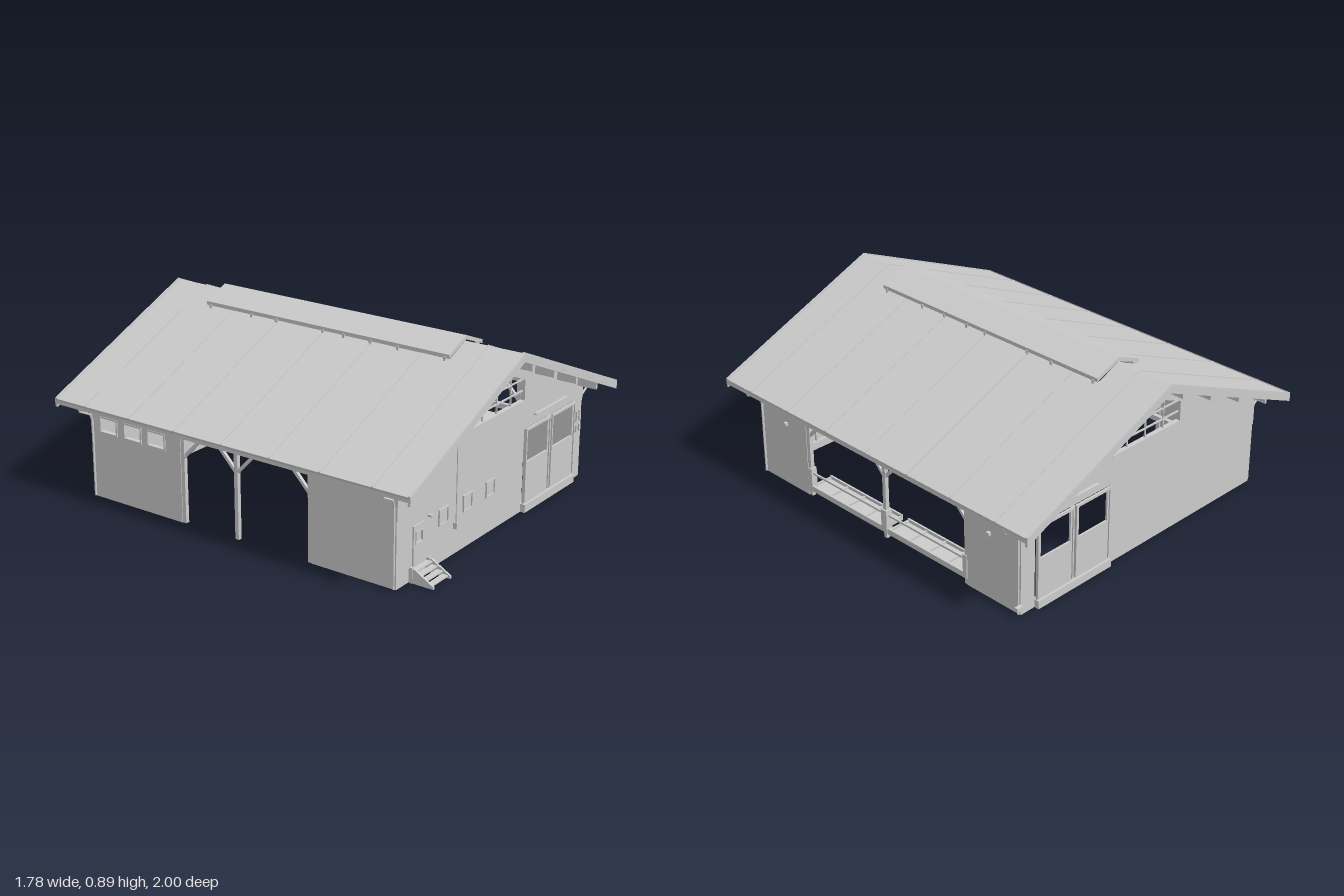
import * as THREE from 'three';

const mat = new THREE.MeshStandardMaterial({ color: 0xcccccc, flatShading: true, side: THREE.DoubleSide });
const SLOPE = 0.424;
const roofY = x => 0.865 - SLOPE * Math.abs(x);

export function createModel() {
  const root = new THREE.Group();
  root.name = 'barn';

  const add = (name, geo) => {
    const m = new THREE.Mesh(geo, mat);
    m.name = name;
    root.add(m);
    return m;
  };
  // box given by its min and max on each axis
  const box = (name, x0, x1, y0, y1, z0, z1) => {
    const m = add(name, new THREE.BoxGeometry(x1 - x0, y1 - y0, z1 - z0));
    m.position.set((x0 + x1) / 2, (y0 + y1) / 2, (z0 + z1) / 2);
    return m;
  };
  const toPath = (pts, C = THREE.Path) => new C(pts.map(p => new THREE.Vector2(p[0], p[1])));
  const rect = (a, b, c, d) => [[a, c], [b, c], [b, d], [a, d]];
  // outline in x,y pushed from z0 to z1
  const slab = (name, pts, z0, z1, holes = []) => {
    const s = toPath(pts, THREE.Shape);
    holes.forEach(h => s.holes.push(toPath(h)));
    const g = new THREE.ExtrudeGeometry(s, { depth: z1 - z0, bevelEnabled: false });
    g.translate(0, 0, z0);
    return add(name, g);
  };
  // outline in z,y pushed from x0 to x1
  const sideSlab = (name, pts, x0, x1, holes = []) => {
    const m = slab(name, pts.map(p => [-p[0], p[1]]), x0, x1, holes.map(h => h.map(p => [-p[0], p[1]])));
    m.geometry.rotateY(Math.PI / 2);
    return m;
  };
  // square beam between two points
  const beam = (name, a, b, t) => {
    const A = new THREE.Vector3(...a), B = new THREE.Vector3(...b);
    const m = add(name, new THREE.BoxGeometry(t, t, A.distanceTo(B)));
    m.position.copy(A).add(B).multiplyScalar(0.5);
    m.lookAt(B);
    return m;
  };
  const pipe = (name, pts, r) => add(name, new THREE.TubeGeometry(
    new THREE.CatmullRomCurve3(pts.map(p => new THREE.Vector3(...p)), false, 'catmullrom', 0.2), 14, r, 6));
  // strip following the roof slope, between two x values
  const slopeStrip = (name, xa, xb, top, bottom, z0, z1) => slab(name, [
    [xa, roofY(xa) + bottom], [xb, roofY(xb) + bottom], [xb, roofY(xb) + top], [xa, roofY(xa) + top]], z0, z1);

  // gable walls, with window, sliding doors and cladding
  const gableWindow = [[-0.23, 0.55], [0.23, 0.55], [0.23, 0.66], [0, 0.757], [-0.23, 0.66]];
  for (const s of [1, -1]) {
    const at = (name, x0, x1, y0, y1, a, b) =>
      box(name, x0, x1, y0, y1, Math.min(s * a, s * b), Math.max(s * a, s * b));
    const put = (name, pts, a, b, holes) => slab(name, pts, Math.min(s * a, s * b), Math.max(s * a, s * b), holes);
    put('gableWall', [[-0.785, 0], [0.235, 0], [0.235, 0.41], [0.7, 0.41], [0.7, 0], [0.785, 0],
      [0.785, roofY(0.785) - 0.025], [0, 0.84], [-0.785, roofY(0.785) - 0.025]], 0.85, 0.865, [gableWindow]);
    put('upperCladding', [[-0.787, 0.315], [0.235, 0.315], [0.235, 0.415], [0.787, 0.415],
      [0.787, roofY(0.787) - 0.025], [0, 0.84], [-0.787, roofY(0.787) - 0.025]], 0.865, 0.871, [gableWindow]);
    // gable window bars and frame
    for (const x of [-0.12, 0, 0.12]) at('windowBar', x - 0.003, x + 0.003, 0.55, 0.755 - 0.42 * Math.abs(x), 0.856, 0.864);
    for (const y of [0.6, 0.655]) at('windowBar', -0.23, 0.23, y - 0.003, y + 0.003, 0.856, 0.864);
    const inner = [[-0.224, 0.556], [0.224, 0.556], [0.224, 0.656], [0, 0.75], [-0.224, 0.656]];
    put('gableWindowFrame', gableWindow, 0.85, 0.874, [inner]);
    // sliding doors
    for (const [a, b] of [[0.24, 0.461], [0.475, 0.698]]) {
      put('slidingDoor', rect(a, b, 0.04, 0.41), 0.868, 0.878, [rect(a + 0.018, b - 0.02, 0.245, 0.398)]);
      for (const x of [a, b - 0.008]) at('doorStile', x, x + 0.008, 0.05, 0.41, 0.878, 0.884);
      at('doorHead', a, b, 0.402, 0.414, 0.878, 0.884);
    }
    at('doorPost', 0.461, 0.475, 0.04, 0.41, 0.858, 0.87);
    at('doorSill', 0.235, 0.7, 0, 0.04, 0.85, 0.89);
    at('doorRail', 0.32, 0.615, 0.457, 0.465, 0.871, 0.885);
  }

  // small front windows
  for (const x of [-0.43, -0.235, -0.045]) {
    slab('smallWindowFrame', rect(x - 0.037, x + 0.037, 0.178, 0.256), 0.865, 0.873,
      [rect(x - 0.031, x + 0.031, 0.184, 0.25)]);
    box('smallWindowPane', x - 0.031, x + 0.031, 0.184, 0.25, 0.864, 0.867);
  }
  // front door and steps
  slab('frontDoor', rect(-0.665, -0.582, 0.06, 0.25), 0.865, 0.872, [rect(-0.65, -0.597, 0.165, 0.22)]);
  slab('frontDoorWindowFrame', rect(-0.652, -0.595, 0.163, 0.222), 0.865, 0.876, [rect(-0.647, -0.6, 0.168, 0.217)]);
  box('doorLamp', -0.56, -0.545, 0.26, 0.27, 0.871, 0.89);
  for (const x of [-0.69, -0.558]) {
    sideSlab('stepSide', [[0.865, 0], [0.99, 0], [0.99, 0.012], [0.895, 0.066], [0.865, 0.066]], x, x + 0.01);
    box('stepPost', x - 0.003, x + 0.013, 0, 0.072, 0.872, 0.884);
  }
  for (let i = 0; i < 4; i++) box('stepTread', -0.68, -0.558, 0.008 + i * 0.015, 0.014 + i * 0.015, 0.95 - i * 0.027, 0.98 - i * 0.027);
  // front pipe and small plates
  pipe('frontDownpipe', [[-0.34, 0.695, 0.878], [-0.34, 0.4, 0.878], [-0.34, 0.14, 0.878]], 0.004);
  box('pipeFoot', -0.347, -0.333, 0.125, 0.155, 0.865, 0.885);
  for (const x of [0.728, 0.755]) {
    box('wallPlate', x, x + 0.014, 0.3, 0.35, 0.865, 0.876);
    box('wallPlate', x, x + 0.014, 0.245, 0.28, 0.865, 0.876);
  }
  box('wallTap', 0.785, 0.82, 0.035, 0.055, -0.88, -0.862);

  // long side walls, one with a row of small windows
  const eave = 0.5;
  for (const s of [1, -1])
    sideSlab('rightWall', rect(...[s * 0.54, s * 0.865].sort((a, b) => a - b), 0, eave), 0.77, 0.785);
  sideSlab('leftFrontWall', rect(0.42, 0.865, 0, eave), -0.785, -0.77);
  const sideWindows = [-0.76, -0.61, -0.465];
  sideSlab('leftBackWall', rect(-0.865, -0.32, 0, eave), -0.785, -0.77,
    sideWindows.map(z => rect(z - 0.052, z + 0.052, 0.335, 0.41)));
  for (const z of sideWindows)
    sideSlab('sideWindowFrame', rect(z - 0.056, z + 0.056, 0.331, 0.414), -0.79, -0.767, [rect(z - 0.048, z + 0.048, 0.339, 0.406)]);
  box('wallRail', -0.77, -0.755, 0.285, 0.31, -0.85, -0.32);
  box('rightHeader', 0.76, 0.785, 0.425, eave, -0.54, 0.54);
  box('leftHeader', -0.785, -0.76, 0.425, eave, -0.32, 0.42);
  for (const z of [0.68, -0.68]) box('sideLamp', 0.785, 0.8, 0.325, 0.34, z - 0.009, z + 0.009);

  // posts and angled braces in the open bays
  const bay = (x, posts, lo, hi) => {
    for (const z of posts) {
      box('bayPost', x - 0.01, x + 0.01, 0, 0.43, z - 0.01, z + 0.01);
      for (const d of [-0.105, 0.105])
        if (z + d > lo && z + d < hi) beam('bayBrace', [x, 0.32, z], [x, 0.43, z + d], 0.015);
    }
  };
  bay(0.772, [-0.53, 0, 0.53], -0.54, 0.54);
  bay(-0.772, [-0.31, 0, 0.41], -0.32, 0.42);

  // feed troughs along the open right side
  for (const s of [1, -1]) {
    const z0 = s > 0 ? 0.02 : -0.53, z1 = z0 + 0.51;
    box('troughFloor', 0.66, 0.785, 0.03, 0.042, z0, z1);
    box('troughFront', 0.777, 0.787, 0.03, 0.058, z0, z1);
    box('troughBack', 0.655, 0.665, 0.03, 0.058, z0, z1);
    box('troughRail', 0.77, 0.778, 0.118, 0.128, z0, z1);
    for (let i = 0; i <= 4; i++) box('troughSlat', 0.66, 0.785, 0.042, 0.052, z0 + i * 0.125, z0 + i * 0.125 + 0.01);
    box('troughEnd', 0.755, 0.787, 0.03, 0.15, s * 0.525 - 0.012, s * 0.525 + 0.012);
  }
  box('troughDivider', 0.755, 0.79, 0.035, 0.15, -0.018, 0.018);

  // enclosed front room
  slab('roomWall', rect(-0.77, 0.27, 0, 0.44), 0.42, 0.435, [rect(-0.16, -0.08, 0.09, 0.25)]);
  box('roomSideWall', 0.255, 0.27, 0, 0.44, 0.435, 0.85);
  box('roomCeiling', -0.77, 0.27, 0.43, 0.445, 0.42, 0.85);
  box('roomWindow', 0.01, 0.09, 0.16, 0.24, 0.412, 0.42);
  box('roomCounter', -0.45, 0.2, 0.13, 0.15, 0.74, 0.85);

  // roof: two slopes with an open vent slot along the ridge
  const slot = 0.125, ventZ = 0.69;
  for (const s of [1, -1]) {
    slopeStrip('roofSlope', s * slot, s * 0.885, 0, -0.025, -1, 1);
    for (const [z0, z1] of [[-1, -ventZ], [ventZ, 1]]) slopeStrip('roofRidgeEnd', 0, s * slot, 0, -0.025, z0, z1);
    for (let i = -3; i <= 3; i++)
      slopeStrip('roofSeam', s * (Math.abs(i) < 3 ? slot : 0), s * 0.885, 0.004, -0.004, i * 0.27 - 0.003, i * 0.27 + 0.003);
    for (const z of [-0.998, 0.986]) slopeStrip('bargeBoard', 0, s * 0.885, 0.005, -0.04, z, z + 0.012);
    // purlins carried out past the gables
    for (const x of [0.12, 0.32, 0.53, 0.735])
      box('purlin', s * x - 0.006, s * x + 0.006, roofY(x) - 0.07, roofY(x) - 0.024, -0.97, 0.97);
    // rafters
    for (let i = -3; i <= 3; i++)
      slopeStrip('rafter', 0, s * 0.8, -0.025, -0.065, i * 0.27 - 0.01, i * 0.27 + 0.01);
    // raised ridge vent on brackets
    slab('ridgeVentCover', [[0, 0.872], [s * 0.138, 0.818], [s * 0.138, 0.836], [0, 0.892]], -0.695, 0.695);
    for (const z of [-0.67, -0.42, -0.27, 0, 0.12, 0.27, 0.42, 0.67])
      box('ventBracket', s * 0.13 - 0.012, s * 0.13 + 0.012, 0.795, 0.825, z - 0.006, z + 0.006);
    // gutter and corner downpipes
    const gutter = add('gutter', new THREE.CylinderGeometry(0.014, 0.014, 1.99, 8, 1, true, -Math.PI / 2, Math.PI));
    gutter.rotation.x = Math.PI / 2;
    gutter.position.set(s * 0.877, 0.492, 0);
    for (const z of [0.857, -0.857])
      pipe('downpipe', [[s * 0.885, 0.48, z], [s * 0.88, 0.455, z], [s * 0.81, 0.42, z], [s * 0.792, 0.395, z],
        [s * 0.792, 0.2, z], [s * 0.792, 0.005, z]], 0.006);
  }
  // tie beams across the hall
  for (const z of [-0.54, -0.27, 0, 0.27]) box('tieBeam', -0.77, 0.77, 0.445, 0.475, z - 0.01, z + 0.01);
  for (const x of [-0.27, 0.27]) box('longBeam', x - 0.01, x + 0.01, 0.475, 0.5, -0.85, 0.85);

  return root;
}
